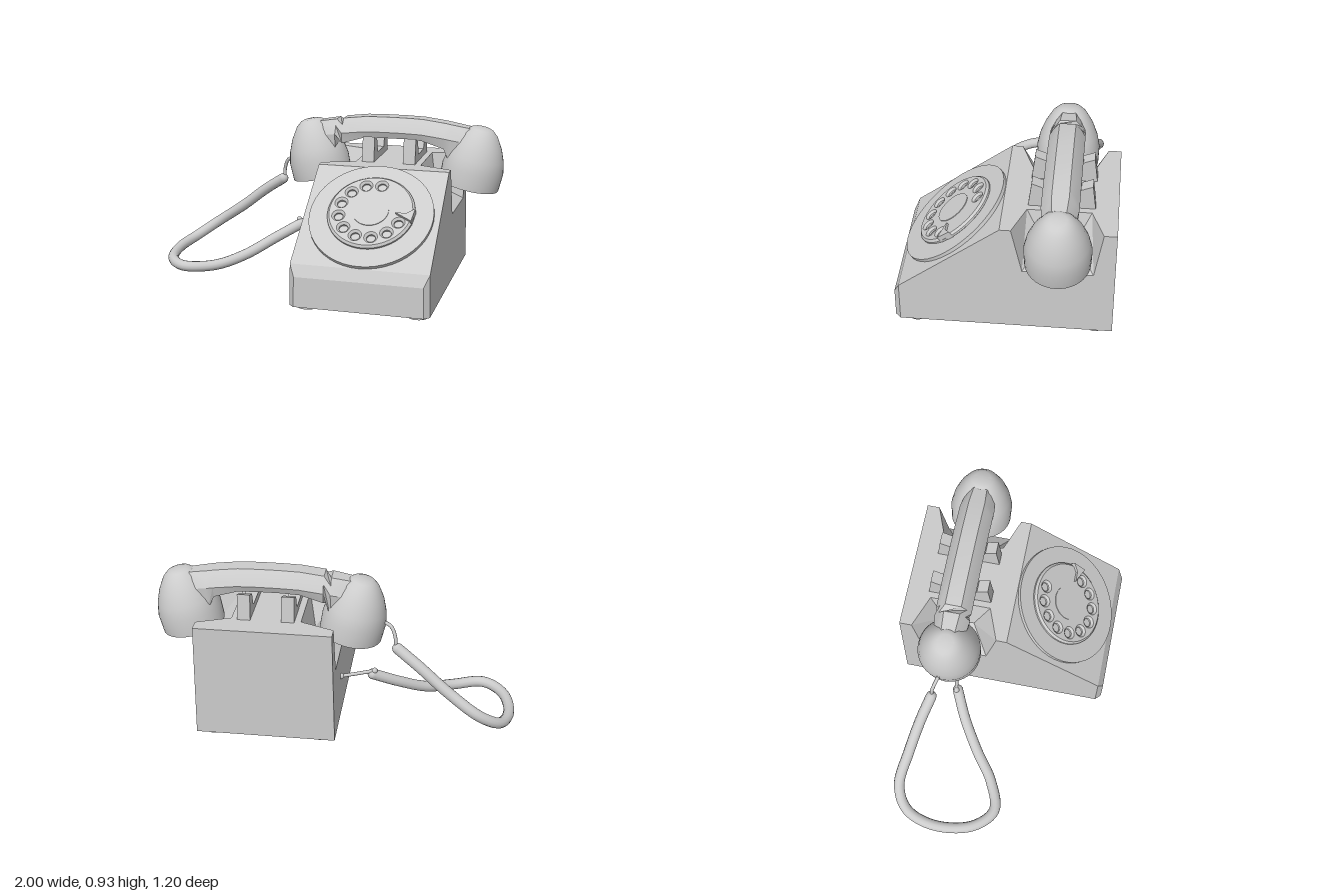
import * as THREE from 'three';
import { toCreasedNormals } from 'three/addons/utils/BufferGeometryUtils.js';

const grey = new THREE.MeshStandardMaterial({ color: 0xcccccc });
const V = (x, y, z) => new THREE.Vector3(x, y, z);
const CX = 0.37;        // centre line of the telephone, the cord hangs to its right
const HANDSET_Z = -0.292;

function add(parent, name, geometry, x = 0, y = 0, z = 0) {
  const mesh = new THREE.Mesh(geometry, grey);
  mesh.name = name;
  mesh.position.set(x, y, z);
  parent.add(mesh);
  return mesh;
}

// Flat-shaded geometry from planar polygons, corners counter-clockwise from outside
function polygons(faces) {
  const out = [];
  for (const pts of faces) {
    const n = V(0, 0, 0);
    pts.forEach((p, i) => n.add(p.clone().cross(pts[(i + 1) % pts.length])));
    n.normalize();
    const u = V(0, 0, 0).subVectors(pts[1], pts[0]).normalize();
    const v = n.clone().cross(u);
    const flat = pts.map((p) => new THREE.Vector2(p.dot(u), p.dot(v)));
    for (const [a, b, c] of THREE.ShapeUtils.triangulateShape(flat, [])) {
      const turn = flat[b].clone().sub(flat[a]).cross(flat[c].clone().sub(flat[a]));
      for (const i of turn > 0 ? [a, b, c] : [a, c, b]) out.push(pts[i].x, pts[i].y, pts[i].z);
    }
  }
  const g = new THREE.BufferGeometry();
  g.setAttribute('position', new THREE.Float32BufferAttribute(out, 3));
  g.computeVertexNormals();
  return g;
}

// Sloped housing with chamfered front corners and a cradle notch in each side
function housingGeometry() {
  const side = (z, y, inset = 0) => V(0.387 - 0.012 * (y - 0.03) / 0.66 - inset, y, z);
  const A = side(-0.595, 0.03), B = side(-0.595, 0.69), C = side(0.02, 0.69);
  const D = side(0.57, 0.265), E = side(0.57, 0.03);
  const F = side(0.6, 0.2, 0.03), G = side(0.6, 0.03, 0.03);
  const N1 = side(-0.525, 0.69), N2 = side(-0.48, 0.42), N3 = side(-0.1, 0.42), N4 = side(-0.04, 0.69);
  const P1 = V(0.23, 0.52, -0.375), P4 = V(0.23, 0.52, -0.2);
  const T1 = V(0.19, 0.69, -0.455), T4 = V(0.19, 0.69, -0.11);
  const m = (p) => V(-p.x, p.y, p.z);
  const half = [
    [A, B, N1, N2, N3, N4, C, D, E],
    [E, D, F, G],
    [N3, N2, P1, P4], [P4, P1, T1, T4], [N2, N1, T1, P1], [N3, P4, T4, N4],
  ];
  const topRight = [C, N4, T4, T1, N1, B];
  const across = [
    [...topRight, ...topRight.map(m).reverse()],
    [D, C, m(C), m(D)], [F, D, m(D), m(F)], [G, F, m(F), m(G)],
    [m(A), m(B), B, A],
    [A, E, G, m(G), m(E), m(A)],
  ];
  return polygons([...half, ...half.map((f) => f.map(m).reverse()), ...across]);
}

// Rotary dial lying on the slope, built in its own plane with +z outward
function buildDial() {
  const dial = new THREE.Group();
  dial.name = 'dial';
  dial.position.set(0, 0.478, 0.295);
  dial.rotation.x = -0.913;
  const disc = (name, r, depth, z) => {
    const g = new THREE.CylinderGeometry(r, r, depth, 48);
    g.rotateX(Math.PI / 2);
    return add(dial, name, g, 0, 0, z + depth / 2);
  };
  disc('dialPlate', 0.345, 0.03, -0.01);
  const wheel = new THREE.Shape().absarc(0, 0, 0.23, 0, Math.PI * 2);
  for (let i = 0; i < 10; i++) {
    const a = THREE.MathUtils.degToRad(80 + i * 28.7);
    wheel.holes.push(new THREE.Path().absarc(0.178 * Math.cos(a), 0.178 * Math.sin(a), 0.037, 0, Math.PI * 2, true));
  }
  const wheelGeo = new THREE.ExtrudeGeometry(wheel, {
    depth: 0.01, bevelThickness: 0.012, bevelSize: 0.012, bevelOffset: 0, bevelSegments: 1, curveSegments: 24,
  });
  add(dial, 'fingerWheel', toCreasedNormals(wheelGeo, 0.5), 0, 0.01, 0.022);
  disc('dialCentre', 0.1, 0.004, 0.044).position.y = 0.01;
  const stop = new THREE.Shape([[0.14, 0.0], [0.235, -0.05], [0.245, 0.035], [0.2, 0.0]]
    .map(([x, y]) => new THREE.Vector2(x, y)));
  add(dial, 'fingerStop', new THREE.ExtrudeGeometry(stop, { depth: 0.04, bevelEnabled: false }), 0, 0, 0.02);
  return dial;
}

// Handle lofted from octagonal sections: [x, top y, bottom y, half width]
function handleGeometry() {
  const half = [[0.5, 0.875, 0.78, 0.05], [0.44, 0.888, 0.66, 0.085], [0.34, 0.905, 0.68, 0.1],
    [0.3, 0.912, 0.77, 0.1], [0.17, 0.928, 0.81, 0.1], [0.06, 0.931, 0.815, 0.1]];
  const rings = [...half.map(([x, ...r]) => [-x, ...r]), ...half.slice().reverse()]
    .map(([x, t, b, w]) => [[t, 0.45], [t - 0.035, 0.75], [t - 0.08, 1], [b, 0.85]]
      .flatMap(([y, k], i, all) => [V(x, y, k * w), V(x, all[3 - i][0], -all[3 - i][1] * w)])
      .sort((p, q) => Math.atan2(p.y - (t + b) / 2, p.z) - Math.atan2(q.y - (t + b) / 2, q.z)));
  const n = 8, pos = rings.flat().flatMap((p) => [p.x, p.y, p.z]), index = [];
  for (let i = 0; i < rings.length - 1; i++)
    for (let j = 0; j < n; j++) {
      const a = i * n + j, b = i * n + (j + 1) % n;
      index.push(a, b, a + n, b, b + n, a + n);
    }
  // End caps
  const last = (rings.length - 1) * n;
  for (let j = 1; j < n - 1; j++) index.push(0, j + 1, j, last, last + j, last + j + 1);
  // Sections run from +z to +y, so reverse the winding to face outward
  for (let i = 0; i < index.length; i += 3) [index[i + 1], index[i + 2]] = [index[i + 2], index[i + 1]];
  const g = new THREE.BufferGeometry();
  g.setAttribute('position', new THREE.Float32BufferAttribute(pos, 3));
  g.setIndex(index);
  return toCreasedNormals(g, 0.4);
}

function buildHandset() {
  const handset = new THREE.Group();
  handset.name = 'handset';
  handset.position.z = HANDSET_Z;
  add(handset, 'handle', handleGeometry());
  const profile = [[0, 0], [0.174, 0], [0.178, 0.1], [0.163, 0.17], [0.135, 0.24], [0.095, 0.305],
    [0.065, 0.332], [0.045, 0.34], [0, 0.343]].map(([r, h]) => new THREE.Vector2(r, h));
  for (const s of [-1, 1]) {
    const cup = add(handset, s < 0 ? 'rightCup' : 'leftCup',
      toCreasedNormals(new THREE.LatheGeometry(profile, 40), 0.4), s * 0.44, 0.557, 0);
    cup.rotation.z = -s * 0.21;
  }
  return handset;
}

// Saddle-shaped prongs holding the handle
function prongGeometry() {
  const half = [[0.182, 0.67], [0.162, 0.835], [0.1, 0.81], [0.075, 0.73]];
  const pts = [...half, ...half.slice().reverse().map(([z, y]) => [-z, y])];
  const g = new THREE.ExtrudeGeometry(new THREE.Shape(pts.map(([z, y]) => new THREE.Vector2(z, y))),
    { depth: 0.07, bevelEnabled: false });
  return g.translate(0, 0, -0.035).rotateY(Math.PI / 2);
}

// Looped cord with thin leads at both ends
function buildCord() {
  const cord = new THREE.Group();
  cord.name = 'cord';
  const tube = (name, pts, r, steps) => {
    const curve = new THREE.CatmullRomCurve3(pts.map((p) => V(...p)));
    add(cord, name, new THREE.TubeGeometry(curve, steps, r, 12));
    for (const p of [pts[0], pts[pts.length - 1]])
      add(cord, name + 'End', new THREE.SphereGeometry(r * (r < 0.02 ? 1.7 : 1), 12, 8), ...p);
  };
  tube('cordLoop', [[-0.335, 0.5, -0.35], [-0.46, 0.415, -0.39], [-0.62, 0.29, -0.43], [-0.8, 0.165, -0.458],
    [-0.915, 0.085, -0.39], [-0.967, 0.052, -0.22], [-0.925, 0.042, 0], [-0.81, 0.039, 0.105],
    [-0.64, 0.042, 0.05], [-0.49, 0.085, -0.06], [-0.33, 0.175, -0.165], [-0.19, 0.255, -0.235]], 0.031, 90);
  tube('handsetLead', [[-0.25, 0.645, -0.315], [-0.295, 0.625, -0.33], [-0.32, 0.57, -0.345],
    [-0.325, 0.5, -0.35]], 0.01, 20);
  tube('bodyLead', [[-0.015, 0.255, -0.28], [-0.1, 0.265, -0.26], [-0.2, 0.28, -0.24]], 0.01, 12);
  return cord;
}

export function createModel() {
  const model = new THREE.Group();
  model.name = 'telephone';
  const phone = new THREE.Group();
  phone.name = 'phone';
  phone.position.x = CX;
  add(phone, 'housing', housingGeometry());
  phone.add(buildDial(), buildHandset());
  for (const s of [-1, 1]) {
    add(phone, 'cradleProng', prongGeometry(), s * 0.12, 0, HANDSET_Z);
    for (const z of [0.485, -0.5])
      add(phone, 'foot', new THREE.CylinderGeometry(0.057, 0.057, 0.04, 24), s * 0.307, 0.02, z);
  }
  model.add(phone, buildCord());
  return model;
}
